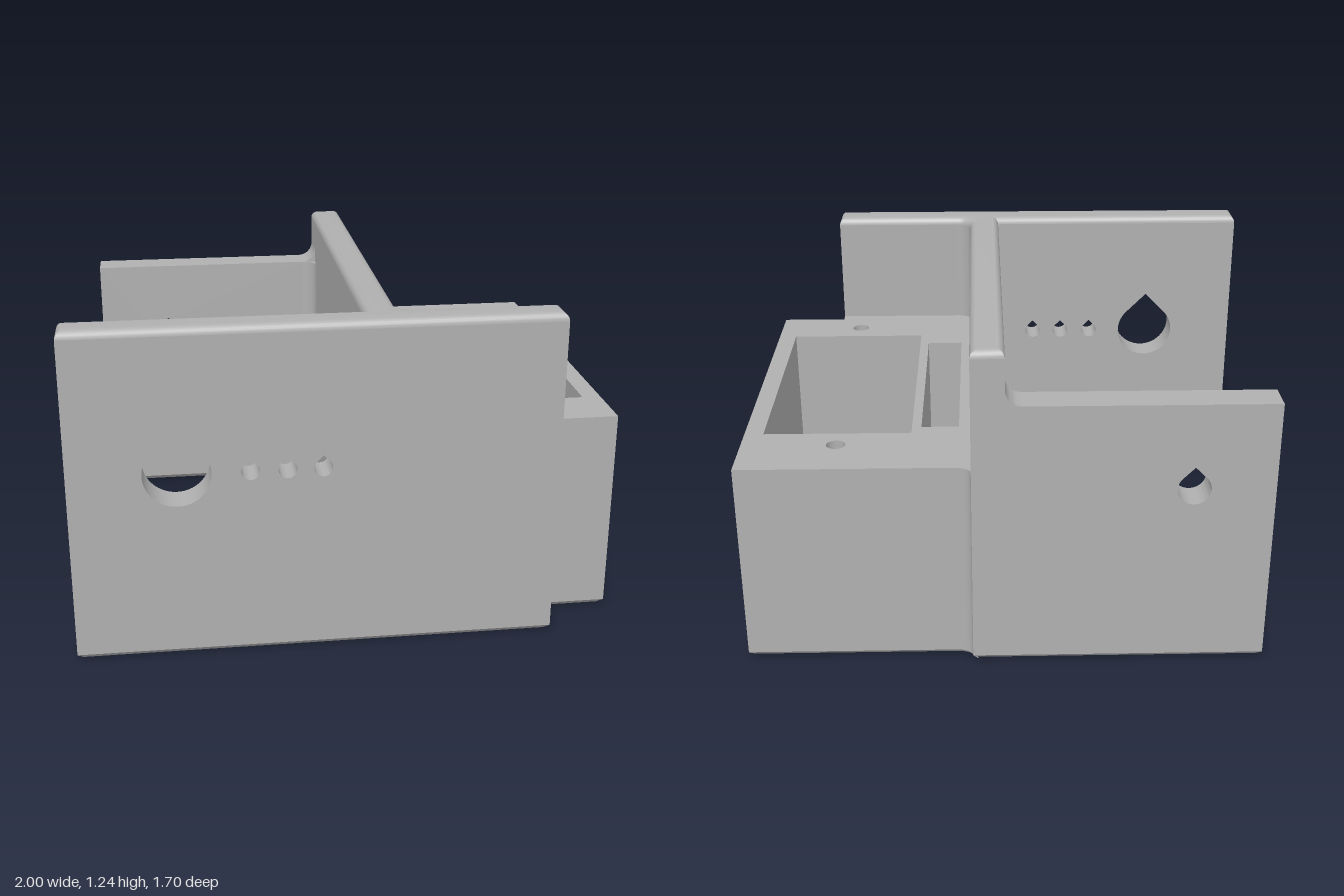
import * as THREE from 'three';
import { toCreasedNormals } from 'three/addons/utils/BufferGeometryUtils.js';

const V = (x, y) => new THREE.Vector2(x, y);
const WALL_L = 0.045, WALL_R = 0.165, EDGE = 0.03, CHAMFER = 0.02, TOP = 1.235;

// Points along an elliptical arc, angles in degrees
function arc(cx, cy, rx, ry, from, to, n = 10) {
  return Array.from({ length: n + 1 }, (_, i) => {
    const a = THREE.MathUtils.degToRad(from + ((to - from) * i) / n);
    return V(cx + rx * Math.cos(a), cy + ry * Math.sin(a));
  });
}

const rect = (x0, y0, x1, y1) => [V(x0, y0), V(x1, y0), V(x1, y1), V(x0, y1)];
const circle = (x, y, r) => arc(x, y, r, r, 0, 352.5, 47);
const teardrop = (x, y, r) => [V(x, y + r * Math.SQRT2), ...arc(x, y, r, r, 135, 405, 40)];

// Move a counter-clockwise outline inwards by d with mitred corners
function inset(points, d) {
  return points.map((p, i) => {
    const a = points[(i + points.length - 1) % points.length];
    const b = points[(i + 1) % points.length];
    const e = p.clone().sub(a).normalize(), f = b.clone().sub(p).normalize();
    const n = V(-e.y - f.y, e.x + f.x);
    return p.clone().addScaledVector(n, d / (1 + e.dot(f)));
  });
}

// Band of inset rings [height, inset]; one end is closed with a flat cap
function edgeBand(outline, holes, rows, capTop) {
  const out = [];
  const put = (p, h) => out.push(p.x, h, -p.y);
  const holeRings = holes.map((h) => h.slice().reverse());
  for (let r = 0; r < rows.length - 1; r++) {
    const [h0, d0] = rows[r], [h1, d1] = rows[r + 1];
    const pairs = [[inset(outline, d0), inset(outline, d1)], ...holeRings.map((h) => [h, h])];
    for (const [lo, hi] of pairs) {
      lo.forEach((p, i) => {
        const j = (i + 1) % lo.length;
        put(p, h0); put(lo[j], h0); put(hi[j], h1);
        put(p, h0); put(hi[j], h1); put(hi[i], h1);
      });
    }
  }
  const [h, d] = capTop ? rows[rows.length - 1] : rows[0];
  const ring = inset(outline, d);
  const all = [ring, ...holeRings].flat();
  for (const [a, b, c] of THREE.ShapeUtils.triangulateShape(ring, holeRings)) {
    for (const k of capTop ? [a, b, c] : [a, c, b]) put(all[k], h);
  }
  const g = new THREE.BufferGeometry();
  g.setAttribute('position', new THREE.Float32BufferAttribute(out, 3));
  return g;
}

function extrude(outline, holes, depth) {
  const s = new THREE.Shape(outline);
  s.holes = holes.map((h) => new THREE.Path(h));
  return new THREE.ExtrudeGeometry(s, { depth, bevelEnabled: false });
}
// Plan outline (x, -z) raised from y0 to y1
const raise = (outline, holes, y0, y1) =>
  extrude(outline, holes, y1 - y0).rotateX(-Math.PI / 2).translate(0, y0, 0);
// Front outline (x, y) pulled from z0 to z1
const pull = (outline, holes, z0, z1) => extrude(outline, holes, z1 - z0).translate(0, 0, z0);

export function createModel() {
  const group = new THREE.Group();
  const grey = new THREE.MeshStandardMaterial({ color: 0xb0b0b0 });
  grey.name = 'grey plastic';
  const add = (name, geometry) => {
    const m = new THREE.Mesh(toCreasedNormals(geometry, 0.5), grey);
    m.name = name;
    group.add(m);
  };

  // Concave fillets in plan
  const frontFillet = arc(0.225, -0.66, 0.06, 0.06, 270, 180);
  const innerFillet = arc(-0.015, 0.665, 0.06, 0.06, 90, 0);
  const backFillet = arc(0.225, 0.85, 0.06, 0.04, 270, 180);

  // Openings in the underside
  const cableHole = circle(0.655, -0.21, 0.073);
  const slot = rect(0.59, 0.47, 0.725, 0.69);

  // Chamfered base under everything
  const footprint = [
    V(-1, -0.845), V(0.74, -0.845), V(0.74, -0.68), V(1, -0.68), V(1, 0.81),
    ...backFillet, V(-0.91, 0.85), V(-0.91, 0.725),
    ...innerFillet, V(WALL_L, -0.72), V(-1, -0.72),
  ];
  add('chamferedBase', edgeBand(footprint, [cableHole, slot], [[0, CHAMFER], [CHAMFER, 0]], false));

  // Box with two pockets and two blind screw holes
  const boxPlan = [
    V(WALL_R, -0.72), V(0.74, -0.72), V(0.74, -0.68), V(1, -0.68), V(1, 0.81), ...backFillet,
  ];
  const pockets = [rect(0.385, -0.47, 0.93, 0.52), rect(0.21, -0.38, 0.35, 0.47)];
  const screws = [circle(0.655, 0.615, 0.035), circle(0.655, -0.57, 0.035)];
  add('boxFloor', raise(boxPlan, [cableHole, slot], CHAMFER, 0.12));
  add('boxLower', raise(boxPlan, pockets, 0.12, 0.4));
  add('boxUpper', raise(boxPlan, [...pockets, ...screws], 0.4, 0.78));

  // Front plate with teardrop holes
  const lights = [-0.365, -0.235, -0.11].map((x) => teardrop(x, 0.705, 0.033));
  add('frontPlate', pull(rect(-1, CHAMFER, 0.74, TOP - EDGE),
    [teardrop(-0.62, 0.705, 0.12), ...lights], 0.72, 0.845));

  // Dividing wall
  add('dividingWall', raise(
    [V(WALL_L, -0.72), ...frontFillet, V(WALL_R, 0.85), V(WALL_L, 0.85)], [], CHAMFER, TOP - EDGE));

  // Rounded top edge of the front plate and wall
  const topPlan = [
    V(-1, -0.845), V(0.74, -0.845), V(0.74, -0.72), ...frontFillet,
    V(WALL_R, 0.85), V(WALL_L, 0.85), V(WALL_L, -0.72), V(-1, -0.72),
  ];
  const rounding = Array.from({ length: 7 }, (_, i) => {
    const a = (i / 6) * Math.PI / 2;
    return [TOP - EDGE + EDGE * Math.sin(a), EDGE * (1 - Math.cos(a))];
  });
  add('roundedTop', edgeBand(topPlan, [], rounding, true));

  // Lower back plate, curving up into the wall
  const backTop = 1.03;
  add('backPlate', pull(
    [V(-0.91, CHAMFER), V(WALL_L, CHAMFER), ...arc(-0.015, backTop + 0.06, 0.06, 0.06, 0, -90), V(-0.91, backTop)],
    [teardrop(-0.62, 0.705, 0.06)], -0.85, -0.725));
  add('innerFillet', raise([...innerFillet, V(WALL_L, 0.725)], [], CHAMFER, backTop));

  return group;
}
